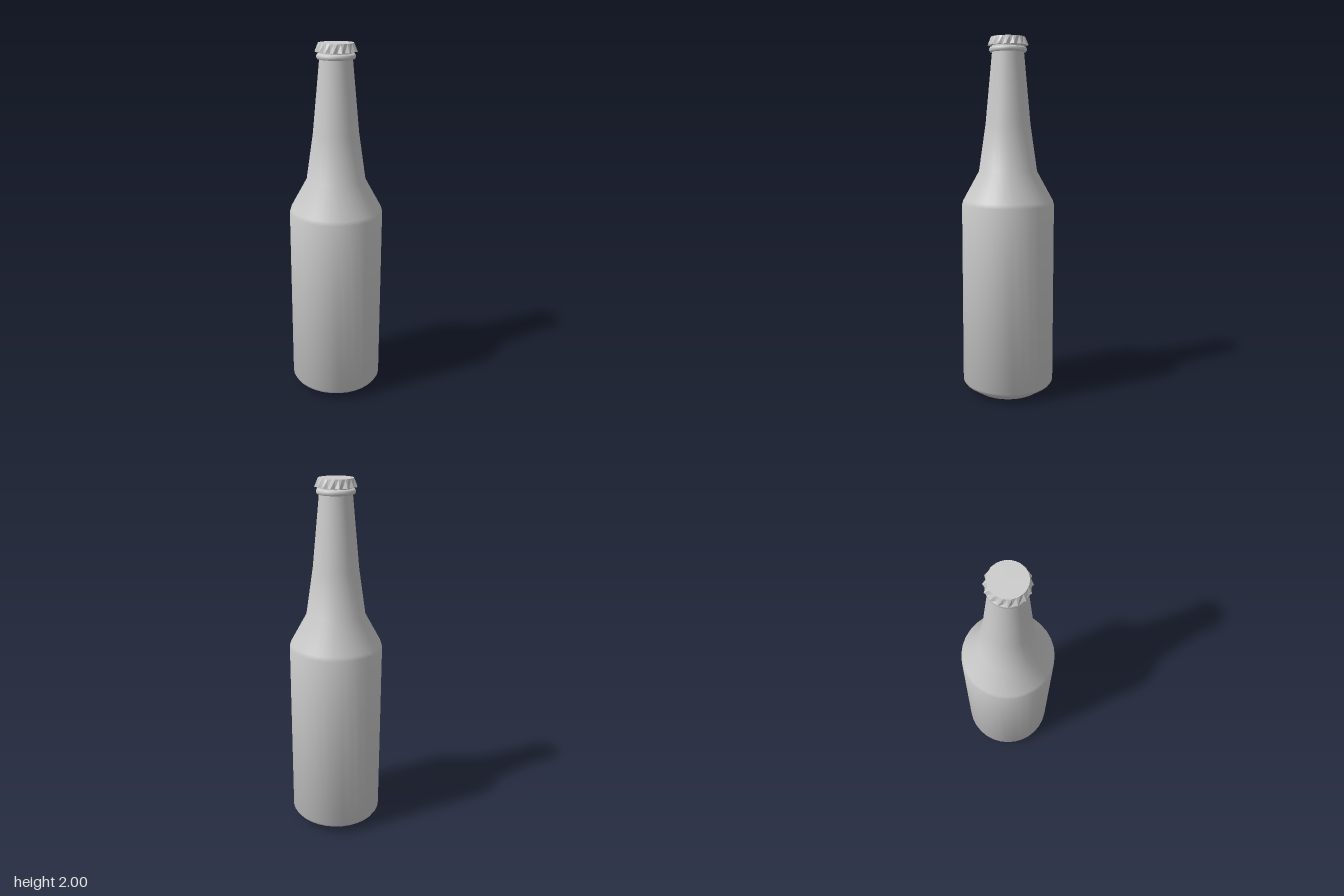
import * as THREE from 'three';
import { toCreasedNormals } from 'three/addons/utils/BufferGeometryUtils.js';

const grey = (extra = {}) => new THREE.MeshStandardMaterial({ color: 0xcccccc, ...extra });

function lathe(name, profile, crease) {
  const points = profile.map(([r, y]) => new THREE.Vector2(r, y));
  const geometry = toCreasedNormals(new THREE.LatheGeometry(points, 32), crease);
  const mesh = new THREE.Mesh(geometry, grey());
  mesh.name = name;
  return mesh;
}

// Crimped skirt: a round top edge flaring to a zigzag hem
function crimpedCap(flutes) {
  const n = flutes * 2;
  const skirt = new THREE.CylinderGeometry(0.094, 0.113, 0.045, n, 1, false);
  const p = skirt.attributes.position;
  for (let i = 0; i < p.count; i++) {
    const x = p.getX(i), z = p.getZ(i);
    if (p.getY(i) > 0 || Math.hypot(x, z) < 0.01) continue;
    const step = Math.round((Math.atan2(x, z) / (Math.PI * 2)) * n);
    if (step % 2 !== 0) {
      const k = 0.1 / 0.113;
      p.setX(i, x * k);
      p.setZ(i, z * k);
    }
  }
  skirt.translate(0, 1.9775, 0);
  const cap = new THREE.Mesh(skirt, grey({ flatShading: true }));
  cap.name = 'crimpedCap';
  return cap;
}

export function createModel() {
  const bottle = new THREE.Group();
  bottle.name = 'bottle';

  // Base, body, shoulder and tapering neck
  bottle.add(lathe('glassBody', [
    [0, 0], [0.18, 0], [0.247, 0.044], [0.259, 0.062],
    [0.259, 1.085], [0.252, 1.108], [0.163, 1.27],
    [0.125, 1.53], [0.088, 1.92], [0.086, 1.96],
  ], 0.75));

  // Rounded lip ring below the cap
  bottle.add(lathe('lipRing', [
    [0.085, 1.919], [0.098, 1.919], [0.103, 1.926], [0.103, 1.938],
    [0.098, 1.945], [0.085, 1.948],
  ], 0.9));

  bottle.add(crimpedCap(16));
  return bottle;
}
